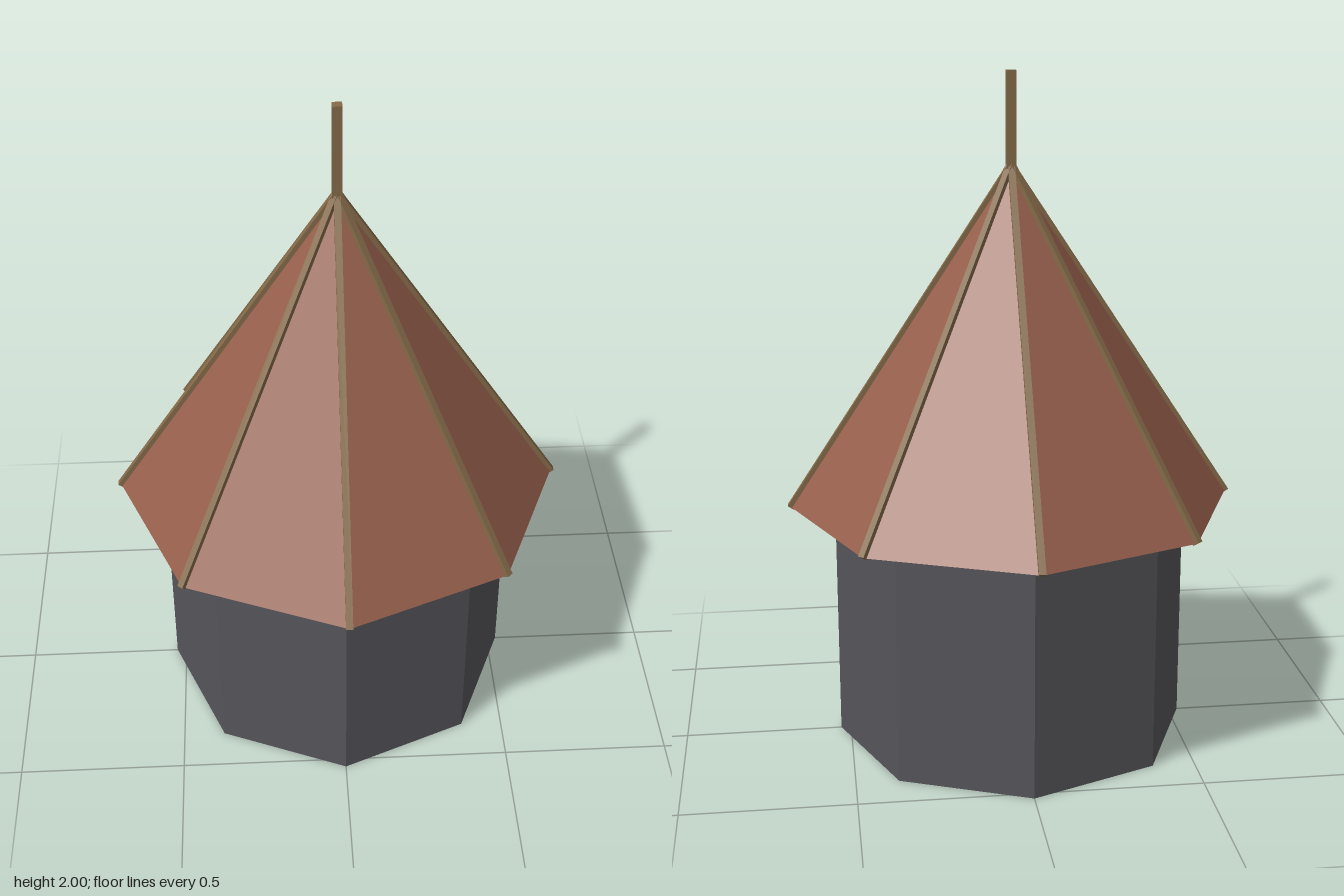
import * as THREE from 'three';

const SIDES = 8;
const WALL_R = 0.53, EAVE_R = 0.662, EAVE_Y = 0.725, APEX_Y = 1.732;

function material(name, color, doubleSided = false) {
  const m = new THREE.MeshStandardMaterial({ color, flatShading: true });
  m.name = name;
  if (doubleSided) m.side = THREE.DoubleSide;
  return m;
}

export function createModel() {
  const model = new THREE.Group();
  model.name = 'octagonalTower';
  const stone = material('dark grey stone', 0x56555a, true);
  const tile = material('red brown roof', 0x965f4c, true);
  const wood = material('brown wood', 0x846a49);

  const add = (name, geometry, mat, parent = model) => {
    const mesh = new THREE.Mesh(geometry, mat);
    mesh.name = name;
    parent.add(mesh);
    return mesh;
  };

  // Open eight-sided wall, corners on the axes
  add('walls', new THREE.CylinderGeometry(WALL_R, WALL_R, EAVE_Y, SIDES, 1, true), stone)
    .position.y = EAVE_Y / 2;

  // Hollow pyramid roof overhanging the wall
  const rise = APEX_Y - EAVE_Y;
  add('roof', new THREE.ConeGeometry(EAVE_R, rise, SIDES, 1, true), tile)
    .position.y = EAVE_Y + rise / 2;

  // Square battens along the roof ridges
  const ridges = new THREE.Group();
  ridges.name = 'ridgeBattens';
  model.add(ridges);
  const length = Math.hypot(EAVE_R, rise);
  for (let i = 0; i < SIDES; i++) {
    const arm = new THREE.Group();
    arm.name = 'ridgeArm';
    arm.rotation.y = (i / SIDES) * Math.PI * 2;
    ridges.add(arm);
    const batten = add('ridgeBatten', new THREE.BoxGeometry(length, 0.02, 0.02), wood, arm);
    batten.position.set(EAVE_R / 2, EAVE_Y + rise / 2, 0);
    batten.rotation.z = -Math.atan2(rise, EAVE_R);
  }

  // Square pole at the peak
  const poleBase = 1.68;
  add('peakPole', new THREE.BoxGeometry(0.028, 2 - poleBase, 0.028), wood)
    .position.y = (2 + poleBase) / 2;

  return model;
}
